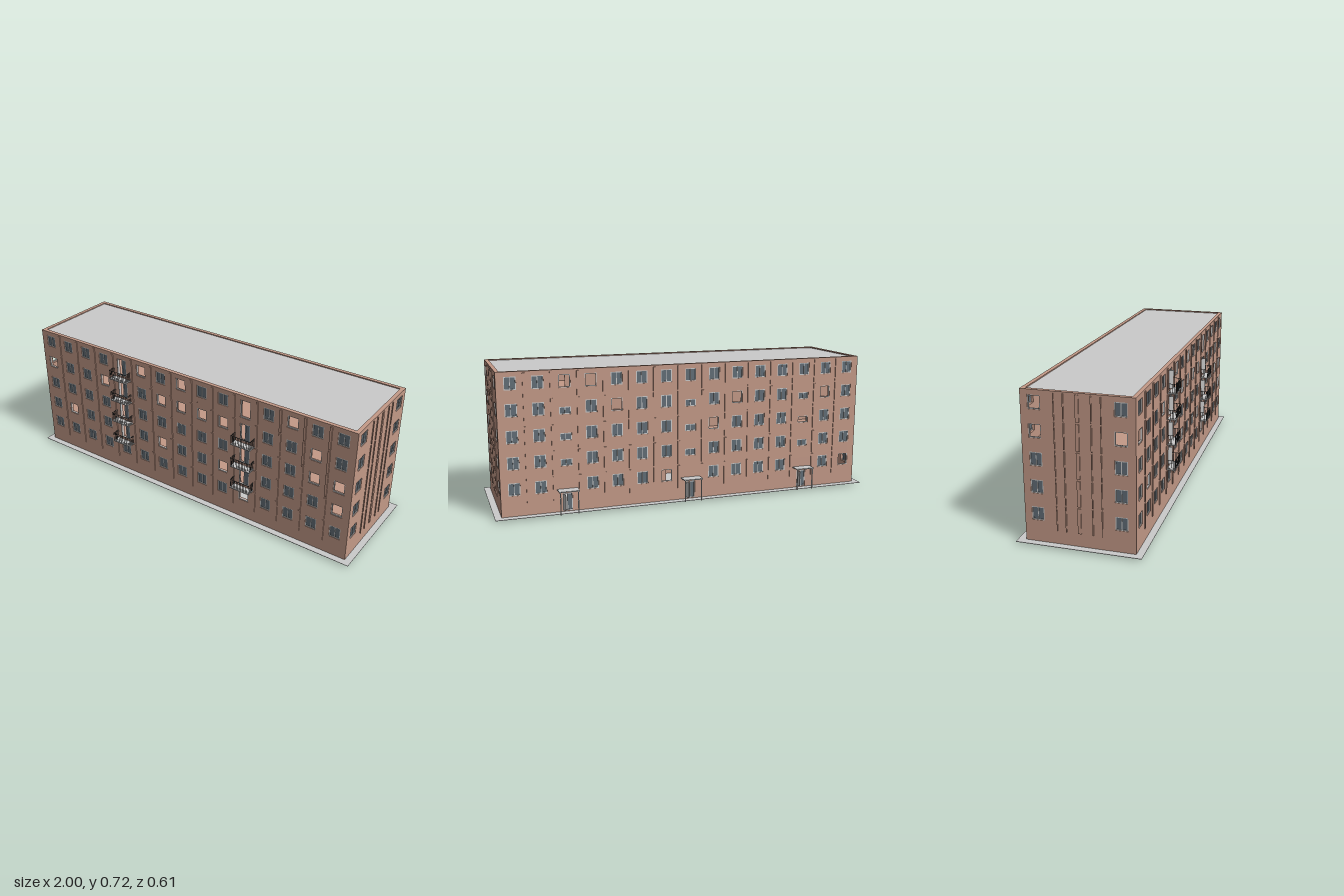
import * as THREE from 'three';
import { mergeGeometries } from 'three/addons/utils/BufferGeometryUtils.js';

const brick = new THREE.MeshStandardMaterial({ color: 0xc49a88 });
const grey = new THREE.MeshStandardMaterial({ color: 0xcccccc });
const glass = new THREE.MeshStandardMaterial({ color: 0x626e77 });
const iron = new THREE.MeshStandardMaterial({ color: 0x444444 });

const PITCH = 0.1287, WALL = 0.02, HALF = 0.967, FRONT = 0.262, BACK = -0.252, TOP = 0.718, GROUND = 0.012;
const MID = (FRONT + BACK) / 2;
const rowY = (row) => 0.147 + (row - 1) * 0.1288; // window centre of storeys 1 to 5
const WIN_W = 0.058, WIN_H = 0.064;

// Boxes are made non-indexed so that they merge with extrusions
function box(x0, x1, y0, y1, z0, z1) {
  const g = new THREE.BoxGeometry(x1 - x0, y1 - y0, z1 - z0).toNonIndexed();
  return g.translate((x0 + x1) / 2, (y0 + y1) / 2, (z0 + z1) / 2);
}

function add(parent, name, geometries, material) {
  const mesh = new THREE.Mesh(mergeGeometries(geometries), material);
  mesh.name = name;
  parent.add(mesh);
}

function trace(path, x0, x1, y0, y1) {
  path.moveTo(x0, y0);
  path.lineTo(x1, y0);
  path.lineTo(x1, y1);
  path.lineTo(x0, y1);
  path.closePath();
  return path;
}

// A plate in the xy plane with rectangular holes, its outer face at z
function plate(x0, x1, y0, y1, holes, depth, z) {
  const shape = trace(new THREE.Shape(), x0, x1, y0, y1);
  holes.forEach((h) => shape.holes.push(trace(new THREE.Path(), h.x0, h.x1, h.y0, h.y1)));
  return new THREE.ExtrudeGeometry(shape, { depth, bevelEnabled: false }).translate(0, 0, z - depth);
}

const opening = (x, y, w, h, kind) => ({ x0: x - w / 2, x1: x + w / 2, y0: y - h / 2, y1: y + h / 2, kind });

// One outer wall with openings and ribs; its outer face is local z = 0
function facade(name, x0, x1, openings, ribs) {
  const group = new THREE.Group();
  group.name = name;
  const frames = [], panes = [], ribGeo = [];
  for (const o of openings) {
    const f = 0.004, xm = (o.x0 + o.x1) / 2;
    const inner = { x0: o.x0 + f, x1: o.x1 - f, y0: o.y0 + f, y1: o.y1 - f };
    frames.push(plate(o.x0, o.x1, o.y0, o.y1, [inner], 0.007, -0.002));
    if (o.kind === 'empty') continue;
    frames.push(box(xm - 0.0015, xm + 0.0015, inner.y0, inner.y1, -0.009, -0.002));
    panes.push(box(o.kind === 'door' ? xm : inner.x0, inner.x1, inner.y0, inner.y1, -0.008, -0.005));
    if (o.kind === 'door') { // open leaf hinged on the frame
      const leaf = box(0, xm - inner.x0, inner.y0, inner.y1, -0.0015, 0.0015);
      frames.push(leaf.rotateY(-1.1).translate(inner.x0, 0, -0.004));
    }
  }
  for (const [x, w] of ribs) {
    for (let row = 1; row <= 5; row++) {
      const y = rowY(row) - 0.012;
      ribGeo.push(box(x - w / 2, x + w / 2, y - 0.06, y + 0.06, -0.001, 0.0045));
    }
  }
  add(group, name + 'Wall', [plate(x0, x1, 0.01, TOP, openings, WALL, 0)], brick);
  add(group, name + 'WindowFrames', frames, grey);
  add(group, name + 'WindowPanes', panes, glass);
  add(group, name + 'Ribs', ribGeo, brick);
  return group;
}

const has = (list, k, row) => list.some(([a, b]) => a === k && b === row);

// Openings without panes, as [column, storey]
const frontEmpty = [[-2, 5], [5, 5], [0, 5], [3, 5], [-7, 4], [-4, 4], [-1, 4], [0, 4], [1, 4], [2, 4], [6, 4],
  [6, 3], [7, 3], [-6, 2], [-1, 2], [2, 2], [7, 2], [3, 1]];
const backEmpty = [[5, 5], [4, 5], [3, 4], [1, 1], [-1, 3], [-2, 4], [-5, 3], [-6, 4], [-7, 1]];
const stairs = [-5, 0, 5];

function frontOpenings() {
  const list = [];
  for (let k = -7; k <= 7; k++) for (let row = 1; row <= 5; row++) {
    const y = rowY(row), empty = has(frontEmpty, k, row);
    if (Math.abs(k) === 3 && row > 1) {
      list.push(opening(k * PITCH, y - 0.0165, WIN_W, 0.097, empty ? 'empty' : 'door'));
    } else list.push(opening(k * PITCH, y, WIN_W, WIN_H, empty ? 'empty' : 'window'));
  }
  return list;
}

function backOpenings() {
  const list = [];
  for (let k = -7; k <= 7; k++) for (let row = 1; row <= 5; row++) {
    const x = -k * PITCH, y = rowY(row), kind = has(backEmpty, k, row) ? 'empty' : 'window';
    const stair = stairs.includes(k);
    if (stair && row === 1) list.push(opening(x, 0.06, 0.05, 0.09, 'door'));
    else if (stair && row < 5) list.push(opening(x, y - 0.015, WIN_W, 0.036, kind));
    else list.push(opening(x, y, WIN_W, WIN_H, kind));
  }
  return list;
}

// Balcony: slab, handrail and bars; origin at the wall face, centre of the slab top
function balcony(x, y) {
  const g = new THREE.Group();
  g.name = 'balcony';
  const w = 0.055, d = 0.04, h = 0.047, t = 0.0008, bars = [];
  const bar = (bx, bz) => bars.push(box(bx - t, bx + t, 0, h, bz - t, bz + t));
  for (let i = 0; i <= 12; i++) bar(-w + (2 * w * i) / 12, d);
  for (const s of [-1, 1]) {
    for (let i = 0; i < 5; i++) bar(s * w, (d * i) / 5);
    bars.push(box(s * w - 0.0012, s * w + 0.0012, h - 0.002, h, 0, d));
  }
  bars.push(box(-w, w, h - 0.002, h, d - 0.0012, d + 0.0012));
  add(g, 'balconySlab', [box(-w - 0.001, w + 0.001, -0.005, 0, 0, d + 0.002)], grey);
  add(g, 'balconyRailing', bars, iron);
  g.position.set(x, y, FRONT);
  return g;
}

// Porch over an entrance: flat canopy on two posts
function porch(x) {
  const g = new THREE.Group();
  g.name = 'entrancePorch';
  add(g, 'porchRoof', [box(-0.051, 0.051, 0.123, 0.128, -0.053, 0)], grey);
  const posts = [-1, 1].map((s) => box(s * 0.044 - 0.0025, s * 0.044 + 0.0025, 0.01, 0.123, -0.05, -0.045));
  add(g, 'porchPosts', posts, grey);
  g.position.set(x, 0, BACK);
  return g;
}

export function createModel() {
  const model = new THREE.Group();
  model.name = 'apartmentBlock';

  // Ground
  add(model, 'foundation', [box(-HALF, HALF, 0, 0.01, BACK, FRONT)], grey);
  add(model, 'pavement', [box(-1, 1, 0.01, GROUND, -0.289, 0.295)], grey);

  // Long walls
  const longRibs = [];
  for (let k = -7; k < 7; k++) longRibs.push([(k + 0.5) * PITCH, 0.012]);
  const front = facade('front', -HALF, HALF, frontOpenings(), longRibs);
  front.position.z = FRONT;
  const back = facade('back', -HALF, HALF, backOpenings(), longRibs);
  back.rotation.y = Math.PI;
  back.position.z = BACK;
  model.add(front, back);

  // End walls
  const endRibs = [[0.11, 0.004], [0.067, 0.005], [0.005, 0.016], [-0.057, 0.005], [-0.1, 0.003]];
  for (const side of [1, -1]) {
    const list = [];
    for (let row = 1; row <= 5; row++) for (const z of [0.197, -0.189]) {
      const empty = side < 0 && (row === 4 || (row === 5 && z < 0));
      list.push(opening(-side * z, rowY(row), WIN_W, WIN_H, empty ? 'empty' : 'window'));
    }
    const ends = [-side * (FRONT - WALL), -side * (BACK + WALL)].sort((a, b) => a - b);
    const end = facade(side > 0 ? 'leftEnd' : 'rightEnd', ends[0], ends[1], list,
      endRibs.map(([z, w]) => [-side * z, w]));
    end.rotation.y = (side * Math.PI) / 2;
    end.position.x = side * HALF;
    model.add(end);
  }

  // Flat roof inside the parapet
  const ix = HALF - WALL, z0 = BACK + WALL, z1 = FRONT - WALL;
  add(model, 'roof', [box(-ix, ix, 0.704, 0.713, z0, z1)], grey);

  // Inner floors, and a middle wall interrupted at the stairwells
  const floors = [];
  for (let row = 2; row <= 5; row++) floors.push(box(-ix, ix, rowY(row) - 0.08, rowY(row) - 0.074, z0, z1));
  add(model, 'innerFloors', floors, brick);
  const edges = [-ix, ...stairs.flatMap((k) => [k * PITCH - 0.05, k * PITCH + 0.05]), ix];
  const inner = [];
  for (let i = 0; i < edges.length; i += 2) {
    inner.push(box(edges[i], edges[i + 1], GROUND, 0.704, MID - 0.004, MID + 0.004));
  }
  add(model, 'innerWalls', inner, brick);

  // Balconies and porches
  for (const k of [-3, 3]) for (let row = 2; row <= 5; row++) {
    if (!(k === 3 && row === 5)) model.add(balcony(k * PITCH, rowY(row) - 0.075));
  }
  stairs.forEach((k) => model.add(porch(k * PITCH)));
  return model;
}
